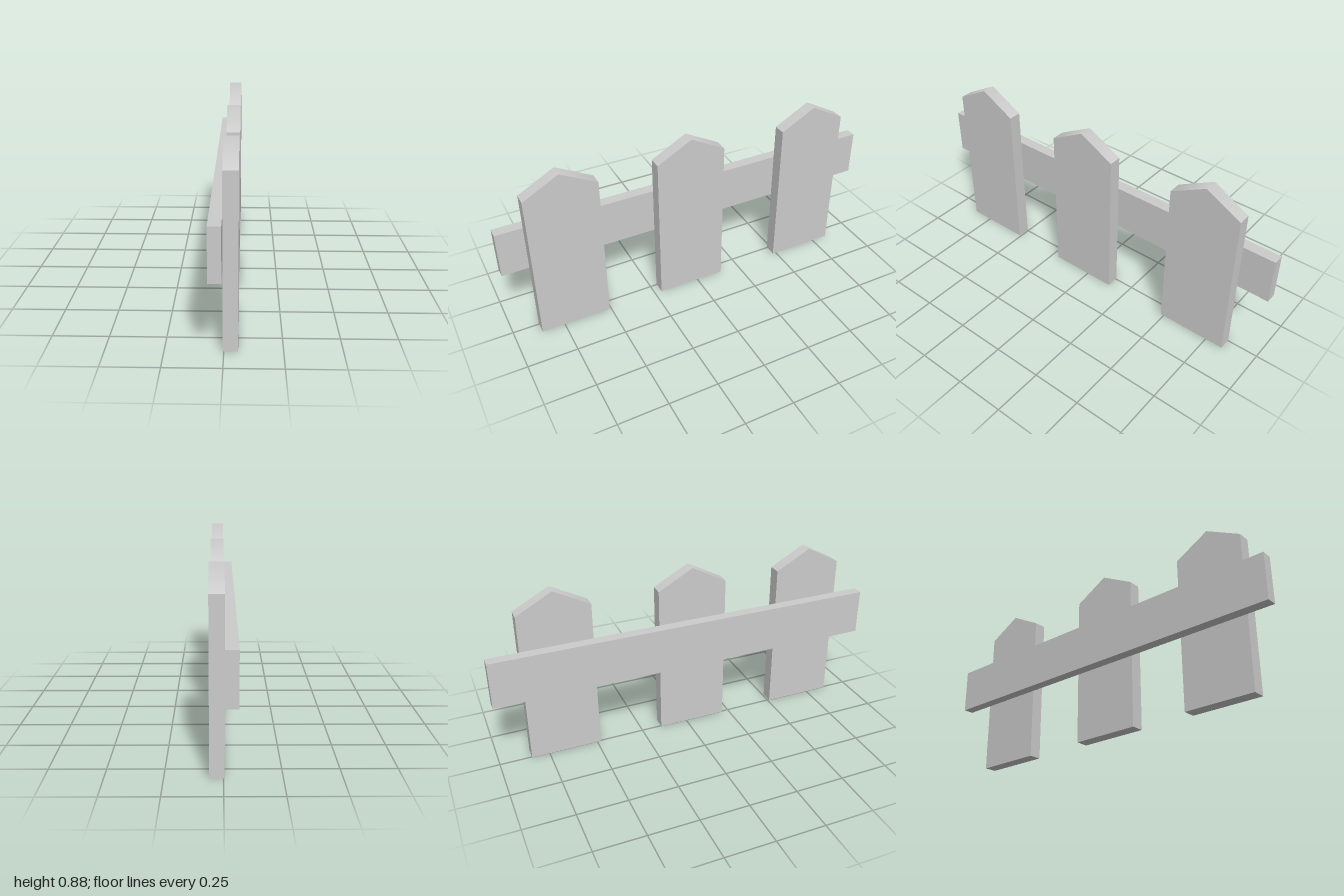
import * as THREE from 'three';

const material = new THREE.MeshStandardMaterial({ color: 0xcccccc });

// Pointed board, extruded along x, with soft shading over its ridge
function picketGeometry(width, shoulder, peak, thickness) {
  const h = width / 2;
  const shape = new THREE.Shape([
    new THREE.Vector2(-h, 0),
    new THREE.Vector2(h, 0),
    new THREE.Vector2(h, shoulder),
    new THREE.Vector2(0, peak),
    new THREE.Vector2(-h, shoulder),
  ]);
  const geometry = new THREE.ExtrudeGeometry(shape, { depth: thickness, bevelEnabled: false });
  geometry.rotateY(Math.PI / 2);
  const { position, normal } = geometry.attributes;
  for (let i = 0; i < position.count; i++) {
    if (position.getY(i) > peak - 1e-4 && Math.abs(normal.getX(i)) < 0.5) normal.setXYZ(i, 0, 1, 0);
  }
  return geometry;
}

export function createModel() {
  const fence = new THREE.Group();
  fence.name = 'fence';

  // Long horizontal rail behind the pickets
  const rail = new THREE.Mesh(new THREE.BoxGeometry(0.055, 0.236, 2), material);
  rail.name = 'rail';
  rail.position.set(-0.0325, 0.486, 0);
  fence.add(rail);

  // Three upright pickets
  const geometry = picketGeometry(0.358, 0.785, 0.882, 0.065);
  [0.687, 0.034, -0.661].forEach((z, i) => {
    const picket = new THREE.Mesh(geometry, material);
    picket.name = `picket${i + 1}`;
    picket.position.set(-0.005, 0, z);
    fence.add(picket);
  });

  return fence;
}
